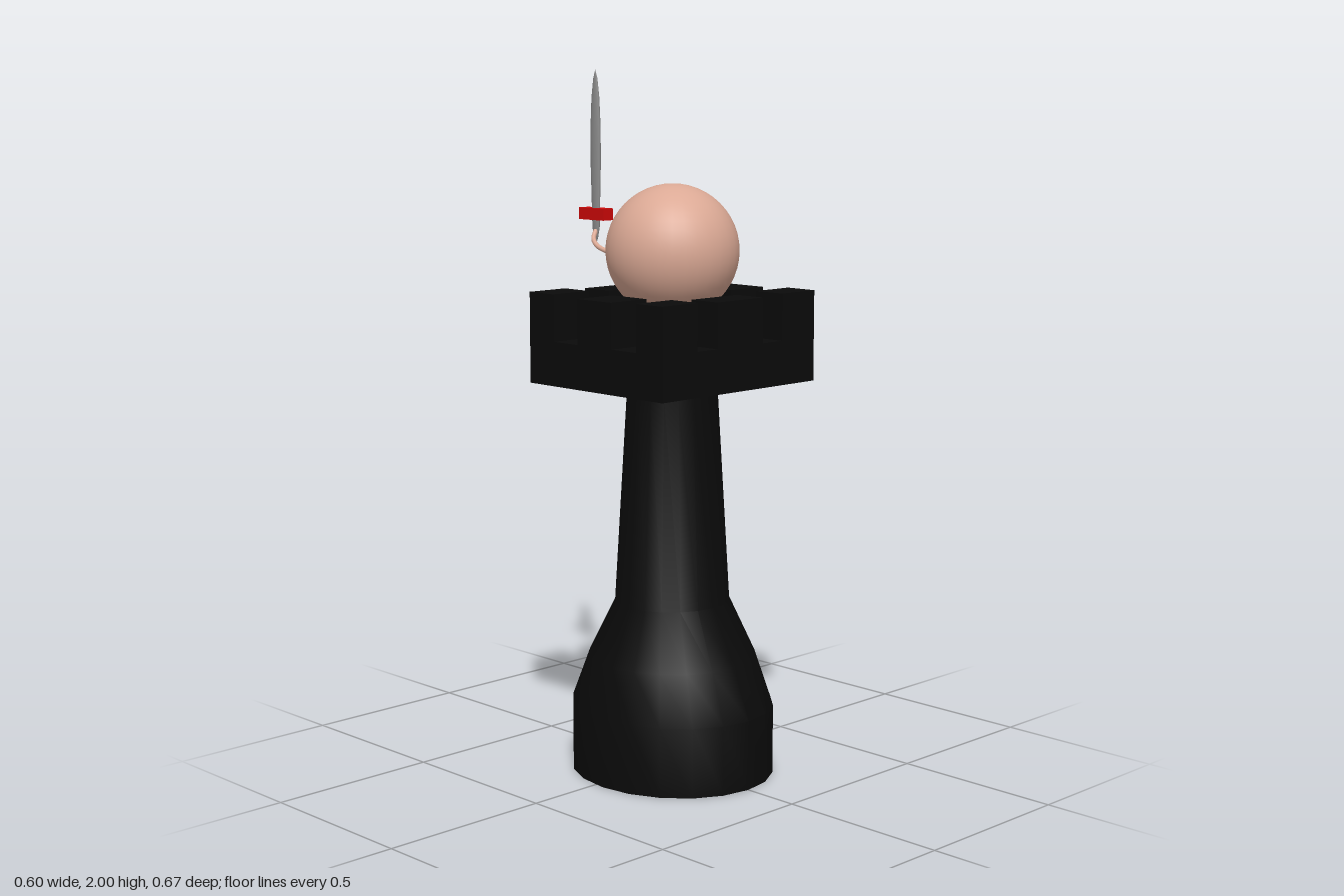
import * as THREE from 'three';
import { toCreasedNormals } from 'three/addons/utils/BufferGeometryUtils.js';

const mat = (color, extra = {}) => new THREE.MeshStandardMaterial({ color, ...extra });
const points = (list) => list.map(([r, y]) => new THREE.Vector2(r, y));

export function createModel() {
  const model = new THREE.Group();
  const black = mat(0x0a0a0a);
  const skin = mat(0xdba995);
  const grey = mat(0x8a8a8a);
  const red = mat(0xcc0808);
  const green = mat(0x44a458, { side: THREE.DoubleSide });
  const midZ = 0.03;

  function add(name, geometry, material, x = 0, y = 0, z = 0, parent = model) {
    const mesh = new THREE.Mesh(geometry, material);
    mesh.name = name;
    mesh.position.set(x, y, z);
    parent.add(mesh);
    return mesh;
  }

  // Tower shaft: the base is slightly deeper than wide
  const shaft = new THREE.LatheGeometry(points([
    [0.277, 0], [0.277, 0.2], [0.237, 0.34], [0.168, 0.5],
    [0.132, 1.1], [0.147, 1.115], [0.147, 1.135], [0, 1.135],
  ]), 20);
  const pos = shaft.attributes.position;
  for (let i = 0; i < pos.count; i++) {
    const t = THREE.MathUtils.clamp((0.5 - pos.getY(i)) / 0.3, 0, 1);
    pos.setZ(i, pos.getZ(i) * (0.97 + 0.13 * t));
  }
  add('towerShaft', toCreasedNormals(shaft, 0.5), black, 0, 0, midZ);

  // Green lining recessed into the foot
  const lining = new THREE.LatheGeometry(points([[0.274, 0.001], [0.274, 0.07], [0, 0.075]]), 20);
  add('footLining', lining, green, 0, 0, midZ).scale.z = 1.1;

  // Square crown with merlons on its corners and edges
  const crown = new THREE.Group();
  crown.name = 'crown';
  crown.position.z = midZ;
  model.add(crown);
  add('crownBase', new THREE.BoxGeometry(0.6, 0.125, 0.53), black, 0, 1.1925, 0, crown);
  const corner = new THREE.BoxGeometry(0.133, 0.14, 0.1);
  for (const sx of [-1, 1]) {
    for (const sz of [-1, 1]) add('cornerMerlon', corner, black, sx * 0.2335, 1.317, sz * 0.215, crown);
    add('sideMerlon', new THREE.BoxGeometry(0.133, 0.135, 0.135), black, sx * 0.2335, 1.3145, 0, crown);
    add('edgeMerlon', new THREE.BoxGeometry(0.18, 0.135, 0.1), black, 0, 1.3145, sx * 0.215, crown);
  }

  // Round head facing +x
  const head = new THREE.Group();
  head.name = 'head';
  head.position.set(0, 1.5, midZ);
  model.add(head);
  add('skull', new THREE.SphereGeometry(0.188, 32, 24), skin, 0, 0, 0, head);

  // Flattened spots lying on the surface of the head
  function spot(name, x, y, z, width, height, tilt) {
    const dir = new THREE.Vector3(x, y, z).setLength(0.185);
    const mesh = add(name, new THREE.SphereGeometry(1, 18, 12), black, dir.x, dir.y, dir.z, head);
    mesh.lookAt(head.position.clone().add(dir.clone().multiplyScalar(2)));
    mesh.rotateZ(tilt);
    mesh.scale.set(width, height, 0.008);
  }
  spot('leftEye', 0.16, 0.082, -0.062, 0.032, 0.025, -0.4);
  spot('rightEye', 0.16, 0.082, 0.062, 0.032, 0.025, 0.4);
  spot('mouth', 0.187, 0.033, 0.002, 0.033, 0.021, 0);

  // Thin curved arm
  const armPath = new THREE.CatmullRomCurve3([
    [-0.035, 1.482, -0.14], [-0.036, 1.487, -0.2], [-0.033, 1.5, -0.245],
    [-0.022, 1.518, -0.272], [-0.003, 1.54, -0.283],
  ].map((p) => new THREE.Vector3(...p)));
  add('arm', new THREE.TubeGeometry(armPath, 28, 0.007, 10), skin);

  // Sword: flat pointed blade, tapering grip and block guard
  const sword = new THREE.Group();
  sword.name = 'sword';
  sword.position.z = -0.285;
  model.add(sword);
  const blade = new THREE.LatheGeometry(points([
    [0.015, 1.59], [0.019, 1.72], [0.0195, 1.83], [0.015, 1.92], [0.008, 1.975], [0, 2],
  ]), 16);
  add('blade', blade, grey, 0, 0, 0, sword).scale.x = 0.48;
  const grip = new THREE.LatheGeometry(points([[0, 1.5], [0.008, 1.52], [0.014, 1.55], [0.015, 1.59]]), 16);
  add('grip', grip, grey, 0, 0, 0, sword).scale.x = 0.48;
  add('guard', new THREE.BoxGeometry(0.038, 0.034, 0.103), red, 0, 1.588, 0, sword);

  return model;
}
